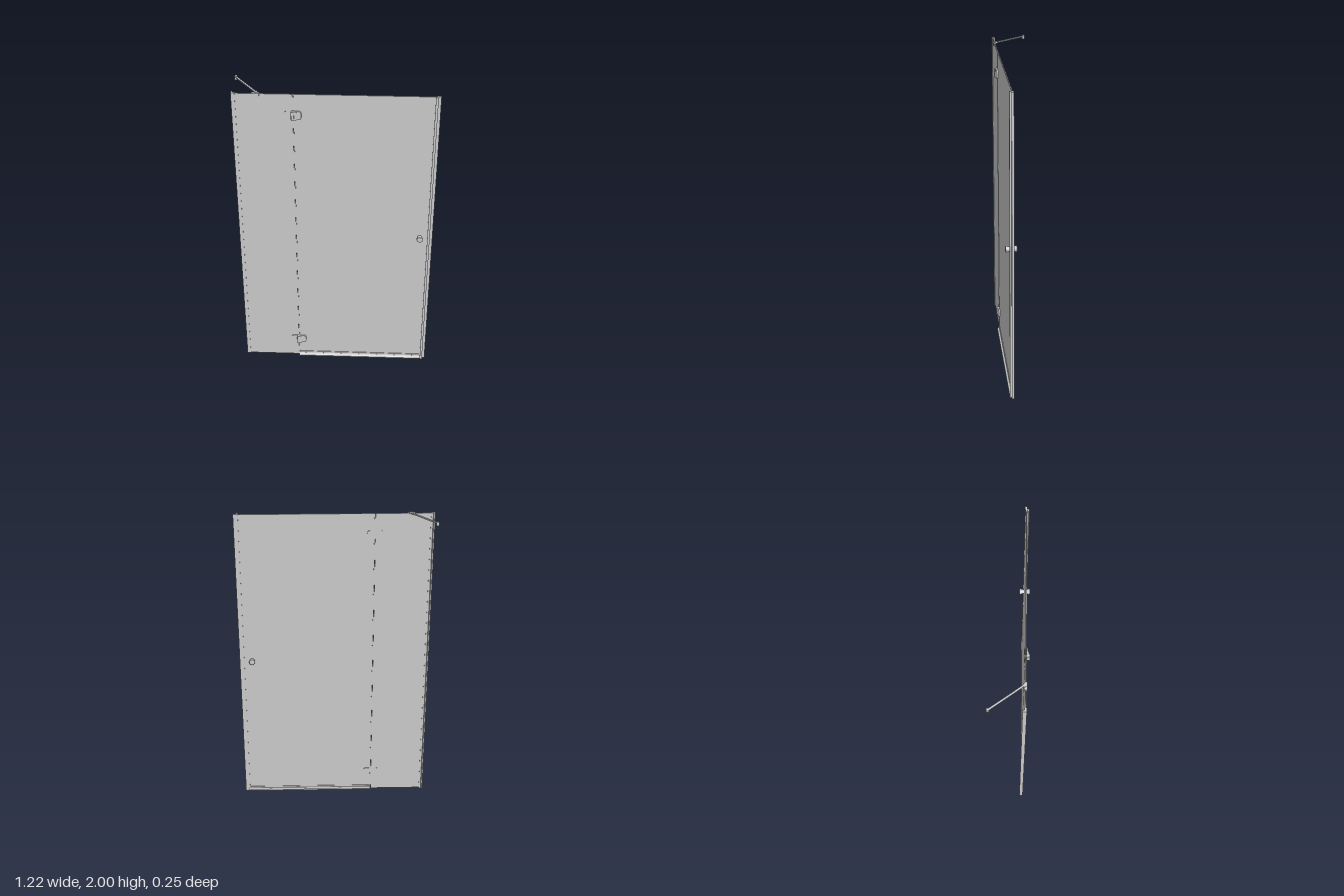
import * as THREE from 'three';

const mat = new THREE.MeshStandardMaterial({ color: 0xcccccc, side: THREE.DoubleSide });

export function createModel() {
  const root = new THREE.Group();
  const add = (name, geo, parent = root) => {
    const m = new THREE.Mesh(geo, mat);
    m.name = name;
    parent.add(m);
    return m;
  };
  // Box given by its min and max on each axis
  const box = (name, x0, x1, y0, y1, z0, z1, parent) => {
    const m = add(name, new THREE.BoxGeometry(x1 - x0, y1 - y0, z1 - z0), parent);
    m.position.set((x0 + x1) / 2, (y0 + y1) / 2, (z0 + z1) / 2);
    return m;
  };
  // Floor-to-top channel from an outline in x and z
  const profile = (name, pts, y0, y1) => {
    const s = new THREE.Shape(pts.map(([x, z]) => new THREE.Vector2(x, -z)));
    const m = add(name, new THREE.ExtrudeGeometry(s, { depth: y1 - y0, bevelEnabled: false }));
    m.rotation.x = -Math.PI / 2;
    m.position.y = y0;
  };

  // Glass
  box('fixedPanel', -0.6, -0.252, 0.004, 1.988, 0.082, 0.088);
  box('doorPanel', -0.247, 0.588, 0.018, 1.988, 0.082, 0.088);
  box('hingeSeal', -0.251, -0.246, 0.01, 1.988, 0.08, 0.091);

  // Wall channels
  profile('leftWallProfile', [[-0.61, 0.068], [-0.602, 0.068], [-0.599, 0.079], [-0.587, 0.079],
    [-0.587, 0.091], [-0.61, 0.091]], 0, 1.99);
  profile('rightWallProfile', [[0.607, 0.077], [0.607, 0.091], [0.59, 0.091], [0.59, 0.102],
    [0.575, 0.102], [0.575, 0.097], [0.585, 0.089], [0.585, 0.079], [0.592, 0.077]], 0, 1.99);
  box('closingSeal', 0.578, 0.588, 0.02, 1.988, 0.078, 0.082);

  // Threshold and the drip seal under the door
  const sill = new THREE.Shape([[0.074, 0], [0.103, 0], [0.103, 0.005], [0.094, 0.011], [0.09, 0.018],
    [0.08, 0.018], [0.074, 0.01]].map(([z, y]) => new THREE.Vector2(-z, y)));
  const threshold = add('threshold', new THREE.ExtrudeGeometry(sill, { depth: 0.838, bevelEnabled: false }));
  threshold.rotation.y = Math.PI / 2;
  threshold.position.x = -0.25;
  box('dripSeal', -0.245, 0.585, 0.02, 0.032, 0.079, 0.092);

  // Hinges: rounded plates on both panes, joined by a pivot block
  const plate = (dir) => {
    const w = 0.038, h = 0.028, r = 0.018;
    const s = new THREE.Shape();
    s.moveTo(0, -h);
    s.lineTo(dir * (w - r), -h);
    s.quadraticCurveTo(dir * w, -h, dir * w, -h + r);
    s.lineTo(dir * w, h - r);
    s.quadraticCurveTo(dir * w, h, dir * (w - r), h);
    s.lineTo(0, h);
    s.closePath();
    return s;
  };
  for (const y of [0.145, 1.853]) {
    const hinge = new THREE.Group();
    hinge.name = 'hinge';
    hinge.position.y = y;
    root.add(hinge);
    const opts = (depth) => ({ depth, bevelEnabled: false, curveSegments: 8 });
    add('fixedPlate', new THREE.ExtrudeGeometry(plate(-1), opts(0.016)), hinge).position.set(-0.264, 0, 0.077);
    add('doorPlate', new THREE.ExtrudeGeometry(plate(1), opts(0.02)), hinge).position.set(-0.24, 0, 0.077);
    box('pivotBlock', -0.262, -0.245, -0.028, 0.028, 0.088, 0.108, hinge);
    box('pivotArm', -0.245, -0.23, -0.028, 0.028, 0.088, 0.102, hinge);
  }

  // Spool-shaped knob through the door
  const knobPts = [[0, -0.035], [0.017, -0.035], [0.019, -0.033], [0.019, -0.026], [0.015, -0.015],
    [0.014, 0], [0.015, 0.015], [0.019, 0.026], [0.019, 0.033], [0.017, 0.035], [0, 0.035]];
  const knob = add('knob', new THREE.LatheGeometry(knobPts.map(([r, h]) => new THREE.Vector2(r, h)), 28));
  knob.rotation.x = Math.PI / 2;
  knob.position.set(0.527, 1.007, 0.087);

  // Diagonal stay from the fixed panel back to the wall
  const brace = new THREE.Group();
  brace.name = 'stay';
  root.add(brace);
  box('glassClamp', -0.49, -0.445, 1.974, 1.992, 0.076, 0.094, brace);
  const a = new THREE.Vector3(-0.464, 1.992, 0.076), b = new THREE.Vector3(-0.602, 1.992, -0.115);
  const bar = add('stayBar', new THREE.BoxGeometry(0.011, 0.007, a.distanceTo(b)), brace);
  bar.position.copy(a).lerp(b, 0.5);
  bar.lookAt(b);
  const joint = add('stayJoint', new THREE.CylinderGeometry(0.01, 0.01, 0.012, 20), brace);
  joint.position.set(-0.464, 1.992, 0.078);
  box('wallFoot', -0.61, -0.594, 1.977, 2, -0.123, -0.107, brace);

  return root;
}
